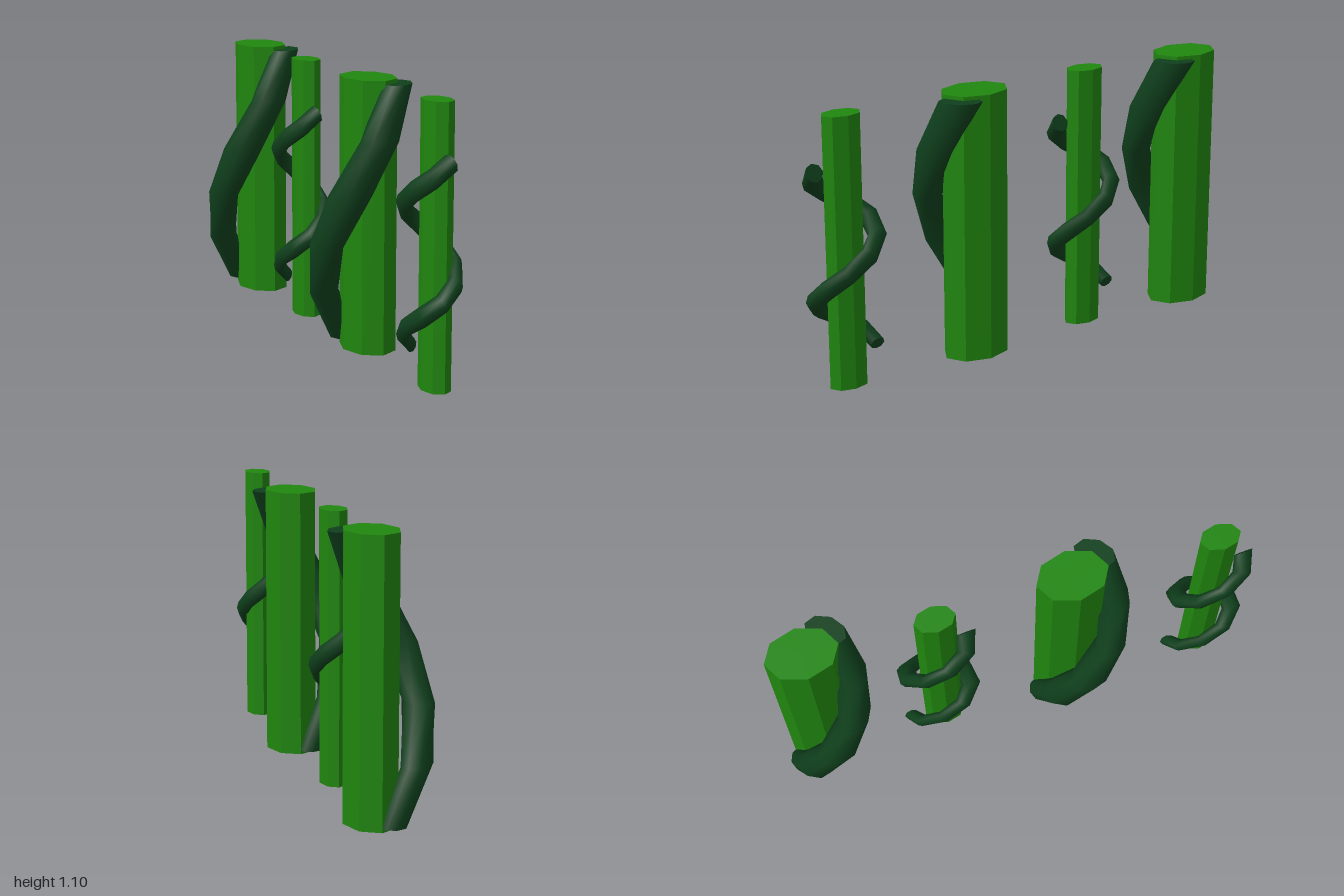
import * as THREE from 'three';

const H = 1.095;
const stalkMat = new THREE.MeshStandardMaterial({ color: 0x20860f, flatShading: true });
const vineMat = new THREE.MeshStandardMaterial({ color: 0x0f3f1c });

// Capped helical vine: elliptical sections (radial x along), tilted about the radial axis
function vineGeometry({ R, a0, a1, y0, y1, steps, tilt, radial, along, sides = 8 }) {
  const pos = [], index = [];
  const lerp = THREE.MathUtils.lerp;
  const ring = (t) => {
    const a = THREE.MathUtils.degToRad(lerp(a0, a1, t)), y = lerp(y0, y1, t);
    const grow = Math.min(1, t * 4);
    const rr = lerp(radial[0], radial[1], grow), aa = lerp(along[0], along[1], grow);
    const base = pos.length / 3;
    for (let j = 0; j < sides; j++) {
      const f = (j / sides) * Math.PI * 2;
      const out = R + rr * Math.cos(f), side = aa * Math.sin(f) * Math.cos(tilt);
      pos.push(
        out * Math.sin(a) + side * Math.cos(a),
        y + aa * Math.sin(f) * Math.sin(tilt),
        out * Math.cos(a) - side * Math.sin(a)
      );
    }
    return base;
  };
  // skin
  let prev = ring(0);
  for (let i = 1; i <= steps; i++) {
    const next = ring(i / steps);
    for (let j = 0; j < sides; j++) {
      const k = (j + 1) % sides;
      index.push(prev + j, prev + k, next + j, prev + k, next + k, next + j);
    }
    prev = next;
  }
  // flat ends on their own vertices
  const start = ring(0), end = ring(1);
  for (let j = 1; j < sides - 1; j++) {
    index.push(start, start + j + 1, start + j, end, end + j, end + j + 1);
  }
  const g = new THREE.BufferGeometry();
  g.setAttribute('position', new THREE.Float32BufferAttribute(pos, 3));
  g.setIndex(index);
  g.computeVertexNormals();
  return g;
}

const thinVine = vineGeometry({
  R: 0.132, a0: -180, a1: 368, y0: 0.13, y1: 0.88, steps: 13,
  tilt: -1.01, radial: [0.03, 0.04], along: [0.03, 0.04]
});
thinVine.scale(0.66, 1, 1);

const thickVine = vineGeometry({
  R: 0.147, a0: -180, a1: 52, y0: 0.015, y1: 1.08, steps: 5,
  tilt: 0, radial: [0.05, 0.06], along: [0.055, 0.085]
});

// Eight-sided stalk, narrower in x than in z, with its vine
function plant(name, z, x, rx, rz, vine, vineX, vineZ) {
  const g = new THREE.Group();
  g.name = name;
  const stalk = new THREE.Mesh(new THREE.CylinderGeometry(1, 1, H, 8), stalkMat);
  stalk.name = 'stalk';
  stalk.scale.set(rx, 1, rz);
  stalk.position.set(x, H / 2, z);
  const wrap = new THREE.Mesh(vine, vineMat);
  wrap.name = 'vine';
  wrap.position.set(vineX, 0, z + vineZ);
  g.add(stalk, wrap);
  return g;
}

export function createModel() {
  const model = new THREE.Group();
  model.name = 'vineStalks';
  for (const z of [0.842, -0.303]) {
    model.add(plant('thinPlant', z, 0.035, 0.055, 0.083, thinVine, 0.017, -0.014));
  }
  for (const z of [0.25, -0.82]) {
    model.add(plant('thickPlant', z, 0.05, 0.106, 0.145, thickVine, 0.003, 0.02));
  }
  return model;
}
